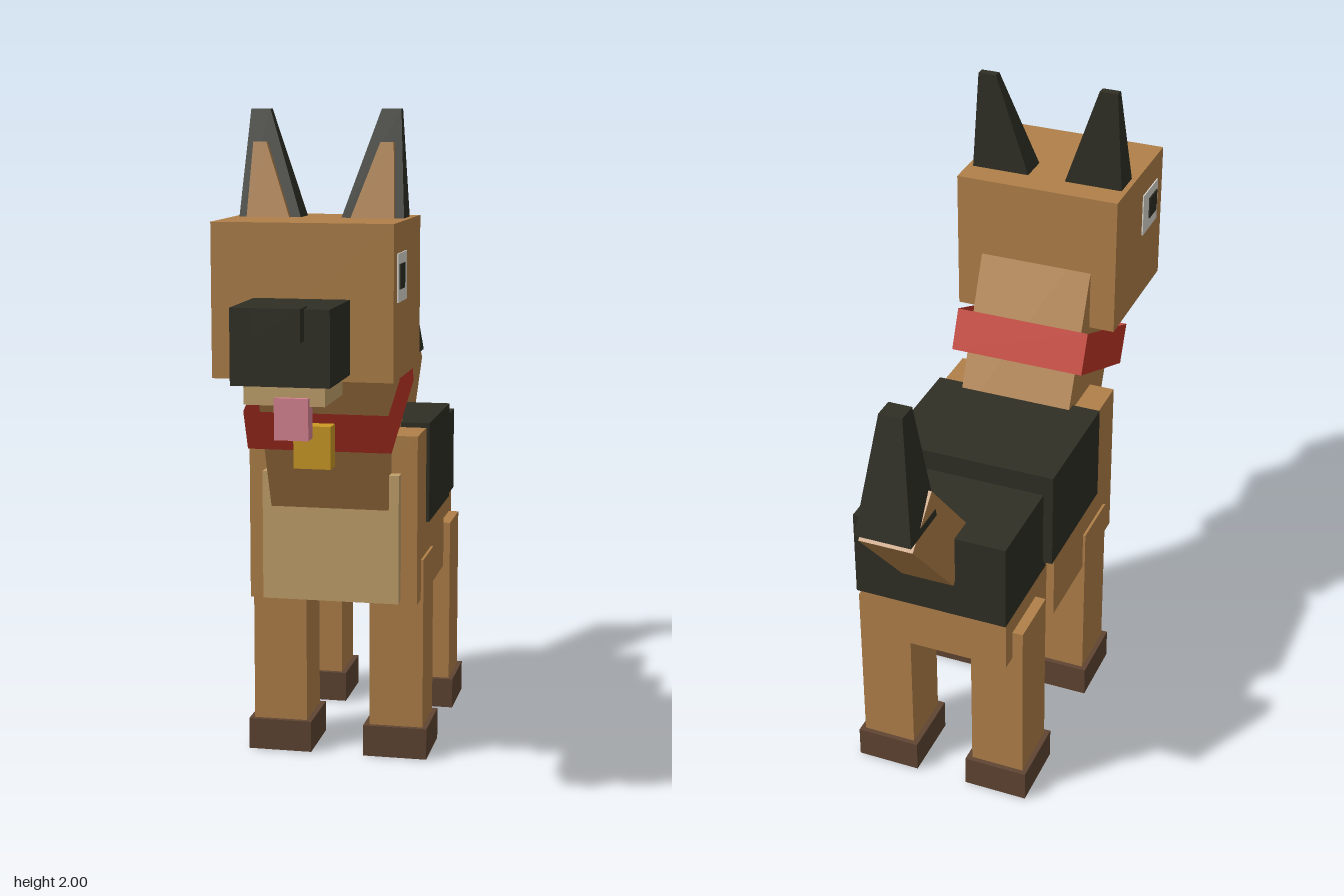
import * as THREE from 'three';

const mat = (name, color, side = THREE.FrontSide) => {
  const m = new THREE.MeshStandardMaterial({ color, side });
  m.name = name;
  return m;
};

export function createModel() {
  const tan = mat('tan fur', 0xb08049);
  const black = mat('black fur', 0x2f2f25);
  const cream = mat('cream fur', 0xc2a26c);
  const brown = mat('paw brown', 0x5f4432);
  const red = mat('collar red', 0xc03524, THREE.DoubleSide);
  const gold = mat('tag gold', 0xcc9a24);
  const pink = mat('tongue pink', 0xd98494);
  const white = mat('eye white', 0xdcd8d0);

  const dog = new THREE.Group();
  dog.name = 'dog';

  const add = (name, geometry, material) => {
    const mesh = new THREE.Mesh(geometry, material);
    mesh.name = name;
    dog.add(mesh);
    return mesh;
  };

  // Box given by its limits on each axis
  const box = (name, material, [x0, x1], [y0, y1], [z0, z1]) => {
    const mesh = add(name, new THREE.BoxGeometry(x1 - x0, y1 - y0, z1 - z0), material);
    mesh.position.set((x0 + x1) / 2, (y0 + y1) / 2, (z0 + z1) / 2);
    return mesh;
  };

  // Box whose bottom and top rectangles differ
  const taper = (name, material, [y0, y1], bottom, top) => {
    const g = new THREE.BoxGeometry(1, 1, 1).toNonIndexed();
    const p = g.attributes.position;
    for (let i = 0; i < p.count; i++) {
      const up = p.getY(i) > 0;
      const [x0, x1, z0, z1] = up ? top : bottom;
      p.setXYZ(i, p.getX(i) < 0 ? x0 : x1, up ? y1 : y0, p.getZ(i) < 0 ? z0 : z1);
    }
    g.computeVertexNormals();
    return add(name, g, material);
  };

  // Box centred on a point and tilted about the x axis
  const tilted = (name, material, size, y, z, angle) => {
    const mesh = add(name, new THREE.BoxGeometry(...size), material);
    mesh.position.set(0, y, z);
    mesh.rotation.x = angle;
    return mesh;
  };

  // Body, chest patch and saddle
  box('frontBody', tan, [-0.26, 0.26], [0.51, 1.03], [-0.3, 0.22]);
  box('rearBody', tan, [-0.235, 0.235], [0.54, 0.96], [-0.63, -0.29]);
  box('chestPatch', cream, [-0.21, 0.21], [0.52, 0.915], [0.21, 0.26]);
  box('frontSaddle', black, [-0.27, 0.27], [0.735, 1.045], [-0.345, 0.06]);
  box('rearSaddle', black, [-0.24, 0.24], [0.705, 0.98], [-0.645, -0.32]);

  // Neck leaning forward, with a hollow square collar
  const lean = 0.41;
  tilted('neck', tan, [0.36, 0.7, 0.314], 1.194, 0.265, lean);
  const collarShape = new THREE.CylinderGeometry(Math.SQRT1_2, Math.SQRT1_2, 1, 4, 1, true)
    .rotateY(Math.PI / 4).scale(0.43, 0.13, 0.41).toNonIndexed();
  collarShape.computeVertexNormals();
  const collar = add('collar', collarShape, red);
  collar.position.set(0, 1.152, 0.25);
  collar.rotation.x = lean;
  box('collarTag', gold, [-0.055, 0.055], [0.975, 1.1], [0.45, 0.51]);

  // Head and face
  box('head', tan, [-0.26, 0.26], [1.25, 1.69], [0.2, 0.635]);
  box('muzzle', black, [-0.137, 0.137], [1.27, 1.48], [0.62, 0.9]);
  box('nose', black, [-0.067, 0.067], [1.395, 1.485], [0.86, 0.945]);
  box('jaw', cream, [-0.113, 0.113], [1.212, 1.272], [0.62, 0.85]);
  box('tongue', pink, [-0.025, 0.07], [1.12, 1.235], [0.815, 0.865]);

  for (const s of [-1, 1]) {
    const side = s > 0 ? 'left' : 'right';
    const span = (a, b) => (s > 0 ? [a, b] : [-b, -a]);

    // Eyes as thin plates
    box(side + 'Eye', white, span(0.258, 0.264), [1.468, 1.605], [0.445, 0.583]);
    box(side + 'Pupil', black, span(0.262, 0.268), [1.505, 1.575], [0.498, 0.567]);

    // Ears with a tan inner face
    taper(side + 'Ear', black, [1.69, 2],
      [...span(0.06, 0.243), 0.285, 0.38], [...span(0.165, 0.222), 0.285, 0.312]);
    taper(side + 'InnerEar', tan, [1.69, 1.905],
      [...span(0.09, 0.217), 0.34, 0.398], [...span(0.168, 0.207), 0.3, 0.352]);

    // Legs, paws and pads
    for (const [end, z] of [['Front', 0.054], ['Hind', -0.485]]) {
      const name = side + end;
      box(name + 'Leg', tan, span(0.1, 0.268), [0.08, 0.635], [z - 0.094, z + 0.094]);
      box(name + 'Paw', brown, span(0.083, 0.283), [0.002, 0.1], [z - 0.11, z + 0.11]);
      box(name + 'Pad', black, span(0.133, 0.233), [0, 0.006], [z - 0.055, z + 0.055]);
    }
  }

  // Tail with a tapered tip
  tilted('tail', tan, [0.164, 0.4, 0.18], 1.03, -0.724, -0.73);
  taper('tailTip', black, [1.145, 1.505],
    [-0.085, 0.085, -0.94, -0.767], [-0.035, 0.035, -0.862, -0.798]);

  return dog;
}
